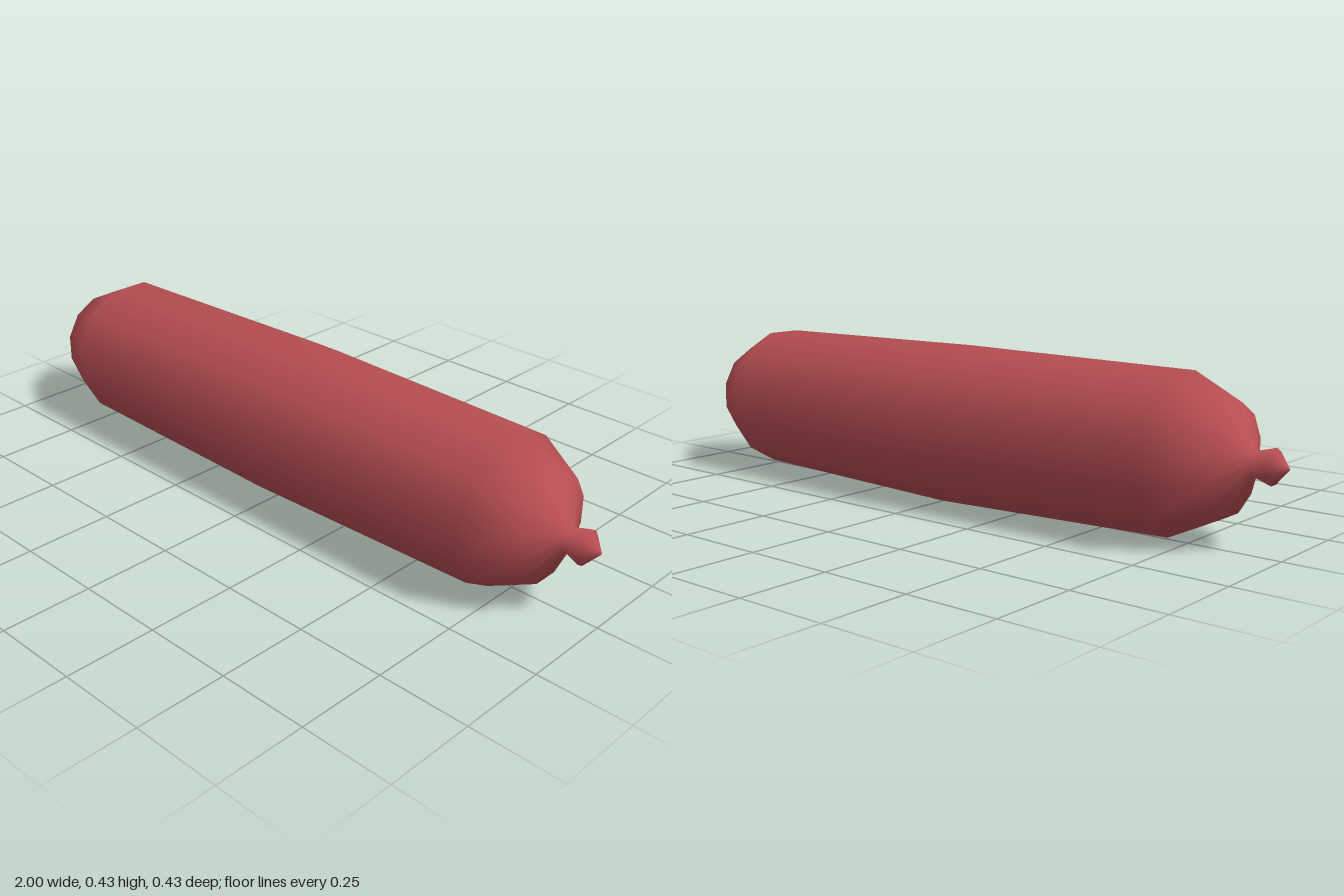
import * as THREE from 'three';

// Half of the casing, from the middle to one tip: [x, radius, centre y, centre z]
const HALF = [
  [0, 0.2215, 0.215, 0],
  [0.72, 0.208, 0.22, 0.008],
  [0.855, 0.141, 0.22, 0.017],
  [0.908, 0.03, 0.22, 0.02],
  [0.96, 0.046, 0.218, 0.021],
  [1, 0.001, 0.218, 0.021],
];
const SIDES = 12;

// Skin closed rings of points into one smooth surface
function loft(rings) {
  const pos = [], index = [];
  for (const [x, r, cy, cz] of rings) {
    for (let j = 0; j < SIDES; j++) {
      const a = ((j + 0.5) / SIDES) * Math.PI * 2;
      pos.push(x, cy + r * Math.cos(a), cz + r * Math.sin(a));
    }
  }
  for (let i = 0; i < rings.length - 1; i++) {
    for (let j = 0; j < SIDES; j++) {
      const k = (j + 1) % SIDES;
      const a = i * SIDES + j, b = i * SIDES + k;
      index.push(a, b, a + SIDES, b, b + SIDES, a + SIDES);
    }
  }
  const geo = new THREE.BufferGeometry();
  geo.setAttribute('position', new THREE.Float32BufferAttribute(pos, 3));
  geo.setIndex(index);
  geo.computeVertexNormals();
  return geo;
}

export function createModel() {
  const group = new THREE.Group();
  group.name = 'sausage';
  const red = new THREE.MeshStandardMaterial({ color: 0xb54d52 });
  red.name = 'sausage red';

  // Casing with a pinched neck and knot at both ends
  const mirrored = HALF.slice(1).reverse().map(([x, ...rest]) => [-x, ...rest]);
  const casing = new THREE.Mesh(loft([...mirrored, ...HALF]), red);
  casing.name = 'casing';
  group.add(casing);
  return group;
}
